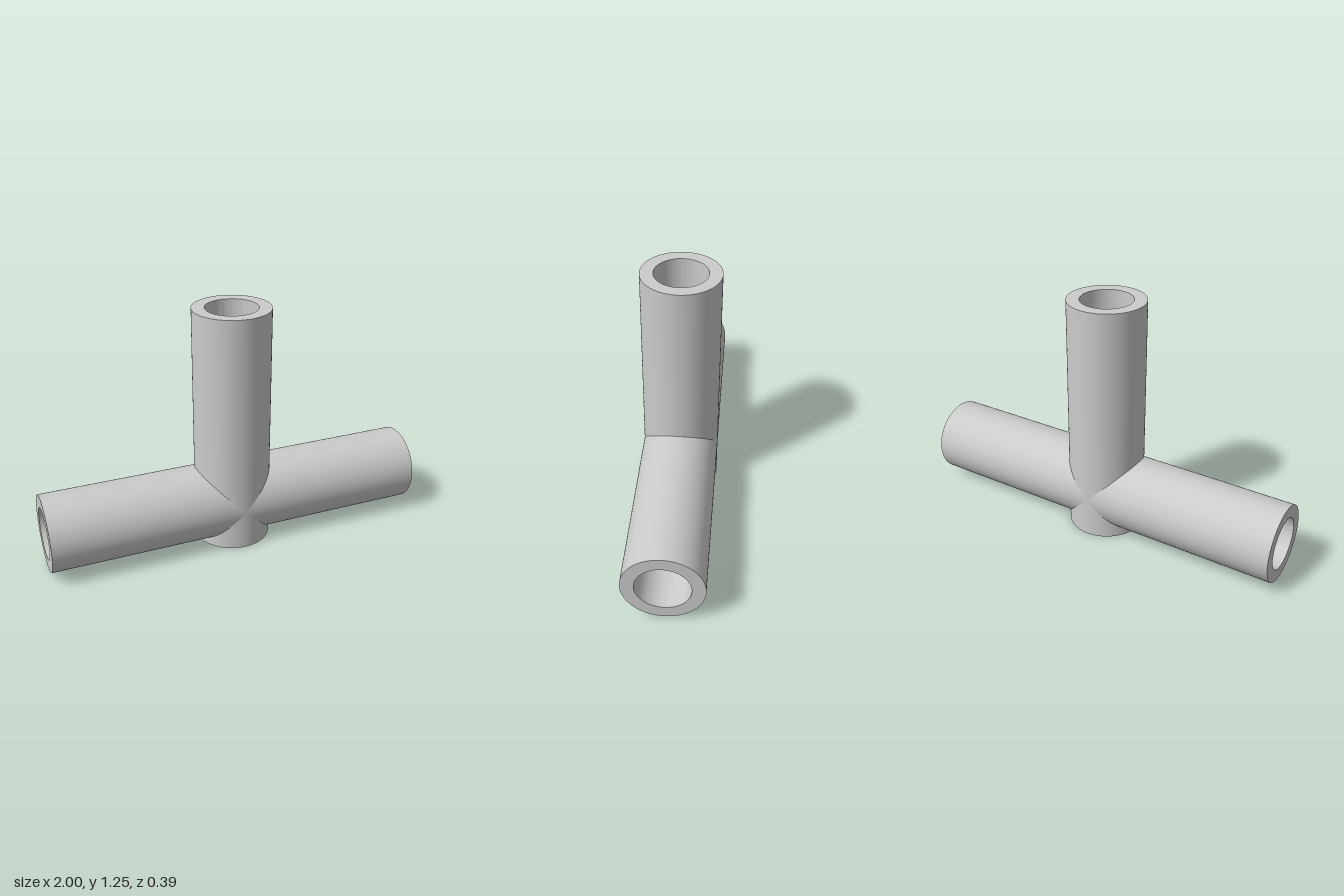
import * as THREE from 'three';
import { toCreasedNormals } from 'three/addons/utils/BufferGeometryUtils.js';

const OUTER = 0.197, BORE = 0.132;

// Hollow pipe with flat annular ends, standing on y = 0
function pipe(name, length, material) {
  const profile = [[OUTER, 0], [OUTER, length], [BORE, length], [BORE, 0], [OUTER, 0]]
    .map(([r, y]) => new THREE.Vector2(r, y));
  const geometry = toCreasedNormals(new THREE.LatheGeometry(profile, 96), Math.PI / 5);
  const mesh = new THREE.Mesh(geometry, material);
  mesh.name = name;
  return mesh;
}

export function createModel() {
  const group = new THREE.Group();
  group.name = 'pipeCross';
  const material = new THREE.MeshStandardMaterial({ color: 0xcccccc });

  // Upright pipe, reaching just below the cross pipe
  const upright = pipe('uprightPipe', 1.252, material);

  // Cross pipe running along x through the foot of the upright
  const cross = pipe('crossPipe', 2, material);
  cross.rotation.z = Math.PI / 2;
  cross.position.set(1, 0.209, 0);

  group.add(upright, cross);
  return group;
}
